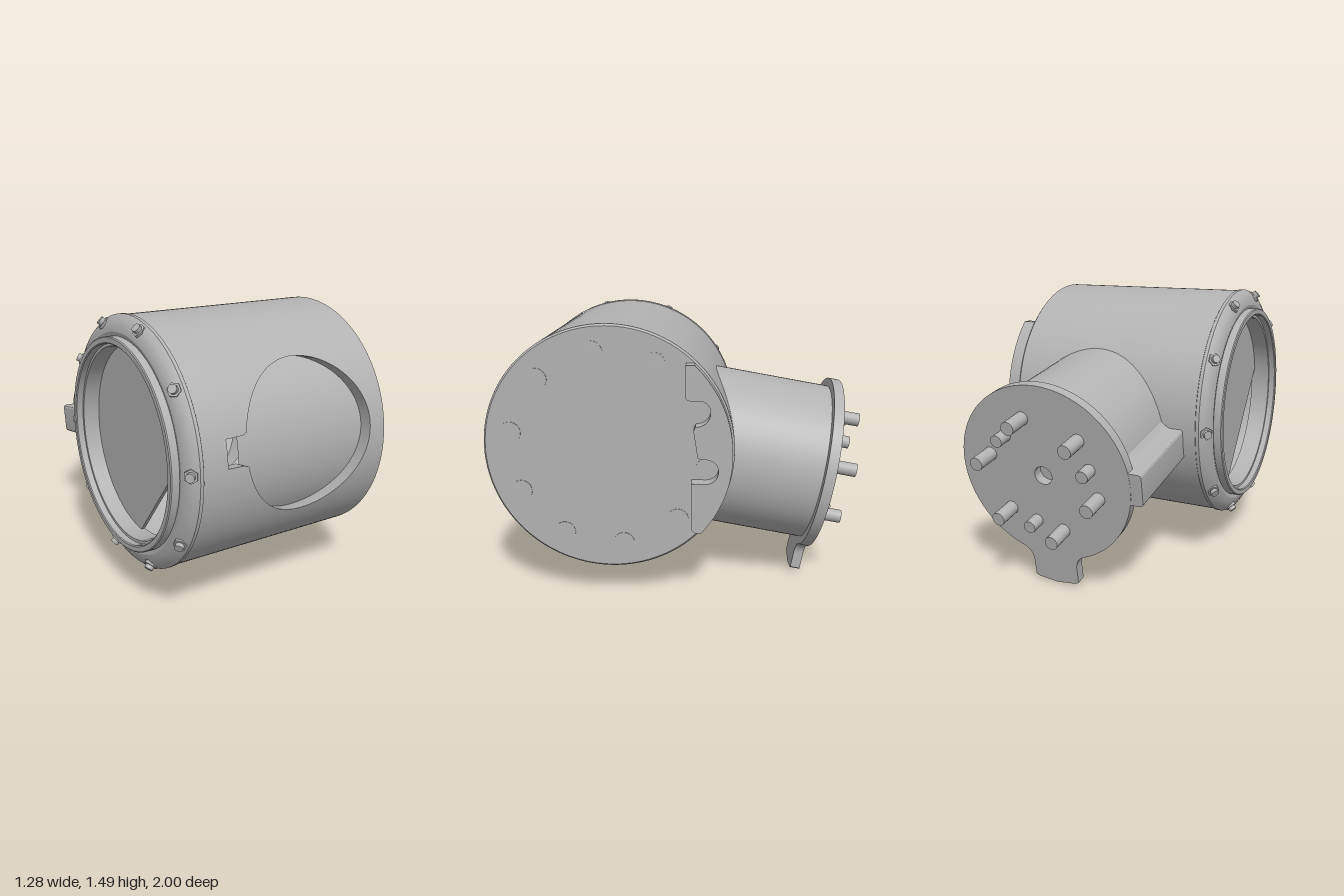
import * as THREE from 'three';
import { toCreasedNormals } from 'three/addons/utils/BufferGeometryUtils.js';

const R = 0.65;          // housing radius
const PORT_X = 0.085;    // x of the side port and front opening
const TILT = -Math.PI / 18;

export function createModel() {
  const metal = new THREE.MeshStandardMaterial({ color: 0xb2b2b2, side: THREE.DoubleSide });
  metal.name = 'grey metal';

  const model = new THREE.Group();
  const straight = new THREE.Group();   // parts aligned with the ground
  straight.name = 'endParts';
  const tilted = new THREE.Group();     // parts following the tilted port axis
  tilted.name = 'portParts';
  for (const g of [straight, tilted]) {
    g.position.set(0, 0.83, 0.35);
    model.add(g);
  }
  tilted.rotation.x = TILT;

  const add = (parent, name, geo, x = 0, y = 0, z = 0) => {
    const mesh = new THREE.Mesh(geo, metal);
    mesh.name = name;
    mesh.position.set(x, y, z);
    parent.add(mesh);
    return mesh;
  };
  // Open tube along x; angle runs from +z towards +y
  const tubeX = (r, x0, x1, start, len) =>
    new THREE.CylinderGeometry(r, r, x1 - x0, 96, 1, true, start, len)
      .rotateZ(Math.PI / 2).translate((x0 + x1) / 2, 0, 0);
  const rodZ = (r, len, n = 24) => new THREE.CylinderGeometry(r, r, len, n).rotateX(Math.PI / 2);
  // Revolve [x, radius] points about the x axis
  const latheX = (pts) => toCreasedNormals(
    new THREE.LatheGeometry(pts.map(([x, r]) => new THREE.Vector2(r, -x)), 96).rotateZ(Math.PI / 2), 0.4);
  const extrude = (shape, depth) => new THREE.ExtrudeGeometry(shape, { depth, bevelEnabled: false, curveSegments: 64 });

  // Loft between closed loops of points
  const loft = (rings, normalAt) => {
    const n = rings[0].length, pos = [], nor = [], idx = [];
    for (const ring of rings) for (const p of ring) {
      pos.push(p.x, p.y, p.z);
      if (normalAt) nor.push(...normalAt(p).toArray());
    }
    for (let j = 0; j < rings.length - 1; j++) for (let i = 0; i < n; i++) {
      const k = (i + 1) % n, a = j * n + i, b = j * n + k, c = a + n, d = b + n;
      idx.push(a, c, b, b, c, d);
    }
    const g = new THREE.BufferGeometry();
    g.setAttribute('position', new THREE.Float32BufferAttribute(pos, 3));
    g.setIndex(idx);
    if (normalAt) g.setAttribute('normal', new THREE.Float32BufferAttribute(nor, 3));
    else g.computeVertexNormals();
    return g;
  };

  // Housing: plain wall, plus a front panel pierced by the keyed round opening
  const X0 = -0.54, X1 = 0.56, HALF = 1.0;
  add(tilted, 'housingWall', tubeX(R, X0, X1, HALF, Math.PI * 2 - 2 * HALF));
  const left = PORT_X - X0, right = X1 - PORT_X, top = HALF * R;
  const angles = [[right, top], [-left, top], [-left, -top], [right, -top]].map(([x, y]) => Math.atan2(y, x));
  for (let i = 0; i < 180; i++) angles.push(-Math.PI + (i * Math.PI) / 90);
  angles.sort((a, b) => a - b);
  const hole = angles.map((t) => {
    const c = Math.cos(t), s = Math.sin(t);
    let r = 0.38;
    if (c < 0) r = Math.max(r, Math.min(0.485 / -c, 0.07 / Math.max(Math.abs(s), 1e-6)));
    return [PORT_X + r * c, r * s];
  });
  const frame = angles.map((t) => {
    const c = Math.cos(t), s = Math.sin(t);
    const k = Math.min((c > 0 ? right : left) / Math.max(Math.abs(c), 1e-6), top / Math.max(Math.abs(s), 1e-6));
    return [PORT_X + k * c, (k * s) / R];
  });
  const rings = [];
  for (let j = 0; j <= 12; j++) {
    rings.push(hole.map(([hx, hy], i) => {
      const f = j / 12, a = Math.asin(hy / R);
      const phi = a + (frame[i][1] - a) * f;
      return new THREE.Vector3(hx + (frame[i][0] - hx) * f, R * Math.sin(phi), R * Math.cos(phi));
    }));
  }
  add(tilted, 'housingFrontPanel', loft(rings, (p) => new THREE.Vector3(0, p.y, p.z).normalize()));
  const rim = (r) => hole.map(([x, y]) => new THREE.Vector3(x, y, Math.sqrt(r * r - y * y)));
  add(tilted, 'openingRim', loft([rim(0.58), rim(R)]));
  add(tilted, 'innerSleeve', tubeX(0.583, -0.3, 0.52, -1.1, 2.2));

  // Closed end with flush screws
  add(straight, 'endCap', latheX([[0.555, R], [0.56, R], [0.57, 0.64], [0.57, 0]]));
  for (let i = 0; i < 10; i++) {
    const a = 0.14 + (i * Math.PI) / 5;
    add(straight, 'capScrew', new THREE.CylinderGeometry(0.056, 0.056, 0.006, 24).rotateZ(Math.PI / 2),
      0.57, 0.515 * Math.cos(a), 0.515 * Math.sin(a));
  }

  // Notched segment plate on the closed end (shape x points to the back)
  const seg = new THREE.Shape();
  seg.moveTo(0.4, 0.46);
  seg.lineTo(0.4, 0.3);
  seg.quadraticCurveTo(0.4, 0.28, 0.45, 0.28);
  seg.bezierCurveTo(0.55, 0.3, 0.55, 0.15, 0.45, 0.15);
  seg.lineTo(0.44, 0.13);
  seg.lineTo(0.46, 0);
  seg.quadraticCurveTo(0.46, -0.02, 0.5, -0.02);
  seg.bezierCurveTo(0.59, -0.02, 0.59, -0.15, 0.5, -0.15);
  seg.lineTo(0.43, -0.15);
  seg.lineTo(0.43, -0.4);
  seg.lineTo(0.45, -0.42);
  seg.lineTo(0.483, -0.42);
  seg.absarc(0, 0, 0.64, Math.atan2(-0.42, 0.483), Math.atan2(0.46, 0.445), false);
  seg.closePath();
  add(straight, 'segmentPlate', extrude(seg, 0.07).rotateY(Math.PI / 2), 0.57);

  // Open end: bevelled collar with a raised lip
  add(straight, 'collar', latheX([
    [-0.49, 0.5], [-0.6, 0.5], [-0.6, 0.515], [-0.635, 0.515], [-0.64, 0.52], [-0.64, 0.545], [-0.635, 0.55],
    [-0.595, 0.55], [-0.6, 0.57], [-0.595, 0.6], [-0.575, 0.635], [-0.55, 0.655], [-0.532, 0.655], [-0.528, 0.649]]));
  for (let i = 0; i < 10; i++) {
    const arm = new THREE.Group();
    arm.name = 'collarScrewMount';
    arm.rotation.x = 0.25 + (i * Math.PI) / 5;
    straight.add(arm);
    const axisTurn = (g) => g.rotateZ(Math.PI / 4);
    add(arm, 'collarScrew', axisTurn(new THREE.CylinderGeometry(0.022, 0.022, 0.07, 16)), -0.575, 0.62, 0);
    add(arm, 'collarScrewSeat', axisTurn(new THREE.CylinderGeometry(0.035, 0.035, 0.03, 6)), -0.575, 0.62, 0);
  }

  // Recessed disc with one side cut off, seen through the open end
  const n = Math.PI + 0.67, h = Math.acos(0.31 / 0.52);
  const disc = new THREE.Shape();
  disc.absarc(0, 0, 0.52, n + h, n - h + Math.PI * 2, false);
  disc.closePath();
  add(straight, 'innerDisc', extrude(disc, 0.02).rotateY(Math.PI / 2), -0.51);

  // Side port with its long key
  add(tilted, 'portPipe', new THREE.CylinderGeometry(0.44, 0.44, 0.69, 96, 1, true).rotateX(Math.PI / 2),
    PORT_X, 0, -0.795);
  const key = new THREE.Shape();
  key.moveTo(-0.38, 0.17);
  key.quadraticCurveTo(-0.44, 0.09, -0.475, 0.085);
  key.lineTo(-0.525, 0.085);
  key.quadraticCurveTo(-0.545, 0.085, -0.545, 0.065);
  key.lineTo(-0.545, -0.065);
  key.quadraticCurveTo(-0.545, -0.085, -0.525, -0.085);
  key.lineTo(-0.475, -0.085);
  key.quadraticCurveTo(-0.44, -0.09, -0.38, -0.17);
  key.closePath();
  add(tilted, 'portKey', toCreasedNormals(extrude(key, 0.64), 0.5), PORT_X, 0, -1.174);

  // Flange with bottom tab and centre hole
  const fl = new THREE.Shape();
  const a0 = Math.atan2(-0.45, 0.18);
  fl.absarc(0, 0, 0.485, a0, Math.PI - a0, false);
  fl.quadraticCurveTo(-0.13, -0.475, -0.13, -0.53);
  fl.lineTo(-0.13, -0.62);
  fl.lineTo(-0.115, -0.63);
  fl.lineTo(0, -0.645);
  fl.lineTo(0.115, -0.63);
  fl.lineTo(0.13, -0.62);
  fl.lineTo(0.13, -0.53);
  fl.quadraticCurveTo(0.13, -0.475, 0.18, -0.45);
  const bore = new THREE.Path();
  bore.absarc(0, 0, 0.05, 0, Math.PI * 2, true);
  fl.holes.push(bore);
  add(tilted, 'flange', toCreasedNormals(extrude(fl, 0.055), 0.5), PORT_X, 0, -1.175);
  add(tilted, 'boreFloor', rodZ(0.06, 0.01), PORT_X, 0, -1.11);

  // Six long and three short pins on the flange
  const pins = (name, count, first, ringR, r, len) => {
    for (let i = 0; i < count; i++) {
      const a = first + (i * Math.PI * 2) / count;
      add(tilted, name, rodZ(r, len + 0.02),
        PORT_X + ringR * Math.cos(a), ringR * Math.sin(a), -1.165 - len / 2);
    }
  };
  pins('longPin', 6, Math.PI / 12, 0.315, 0.036, 0.13);
  pins('shortPin', 3, Math.PI / 4, 0.28, 0.033, 0.08);

  return model;
}
